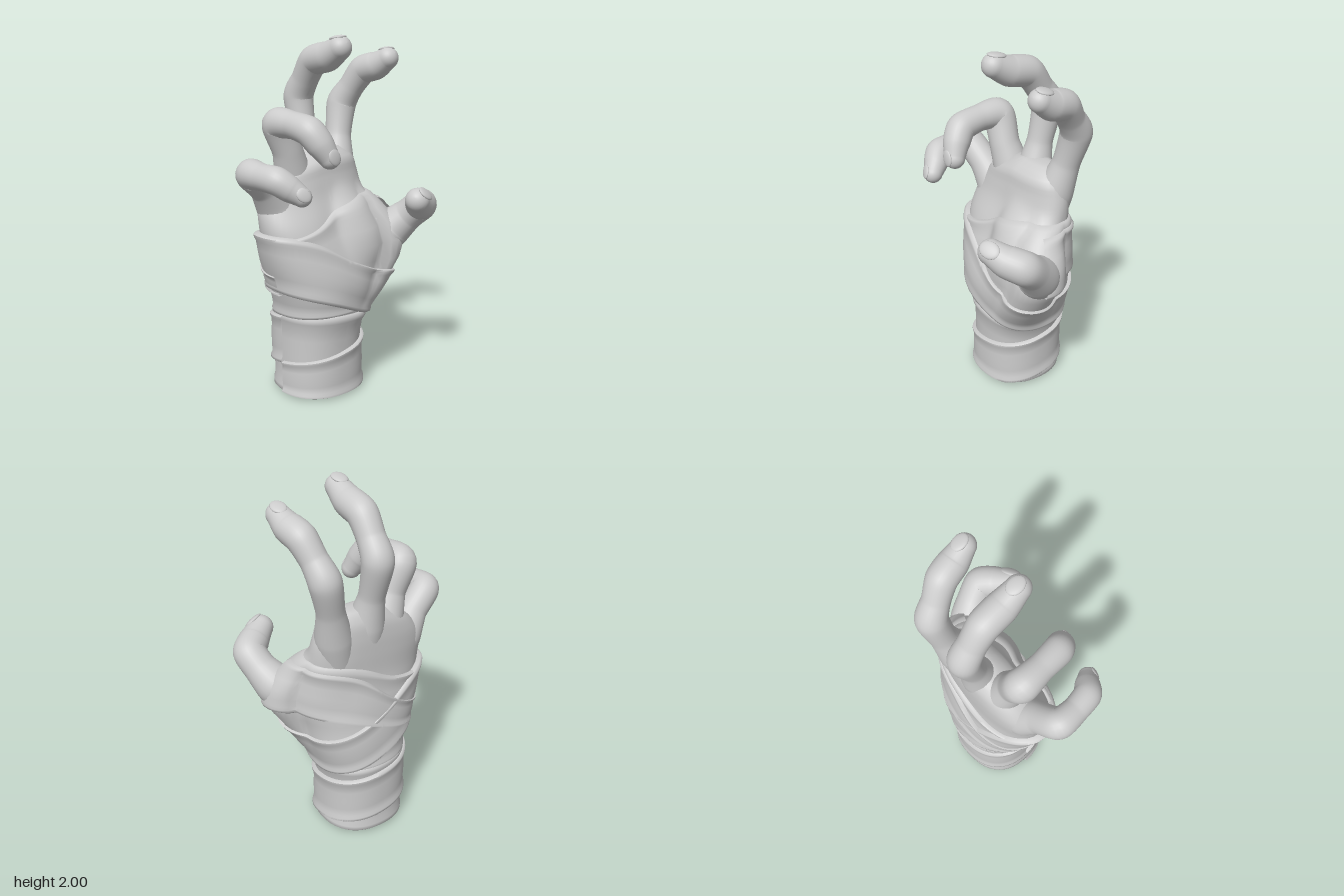
import * as THREE from 'three';
import { toCreasedNormals } from 'three/addons/utils/BufferGeometryUtils.js';

const grey = new THREE.MeshStandardMaterial({ color: 0xcccccc, side: THREE.DoubleSide });

// Skin a list of rings (each an array of Vector3 with equal length).
function loft(rings, closed = true) {
  const n = rings[0].length, pos = [], idx = [];
  rings.forEach(r => r.forEach(p => pos.push(p.x, p.y, p.z)));
  for (let i = 0; i < rings.length - 1; i++) {
    for (let j = 0; j < (closed ? n : n - 1); j++) {
      const k = (j + 1) % n;
      const a = i * n + j, b = i * n + k, c = a + n, d = b + n;
      idx.push(a, c, b, b, c, d);
    }
  }
  const g = new THREE.BufferGeometry();
  g.setAttribute('position', new THREE.Float32BufferAttribute(pos, 3));
  g.setIndex(idx);
  g.computeVertexNormals();
  return g;
}

function add(group, name, geometry) {
  const m = new THREE.Mesh(geometry, grey);
  m.name = name;
  group.add(m);
  return m;
}

// Palm and wrist sections: y, centre x z, half widths x z, thumb-root centre x z, radius
const SECTIONS = [
  [0.00, -0.02, -0.13, 0.225, 0.218, 0.00, -0.10, 0.05],
  [0.30, -0.02, -0.13, 0.225, 0.218, 0.02, -0.08, 0.06],
  [0.45, -0.01, -0.125, 0.24, 0.225, 0.10, -0.05, 0.10],
  [0.65, 0.00, -0.11, 0.295, 0.24, 0.225, 0.00, 0.125],
  [0.85, -0.02, -0.12, 0.335, 0.212, 0.33, 0.01, 0.13],
  [1.00, -0.035, -0.135, 0.345, 0.178, 0.29, -0.03, 0.11],
  [1.15, -0.03, -0.17, 0.34, 0.142, 0.20, -0.12, 0.05],
  [1.25, -0.015, -0.182, 0.31, 0.126, 0.12, -0.18, 0.03],
  [1.33, 0.01, -0.185, 0.25, 0.108, 0.08, -0.20, 0.02],
  [1.38, 0.04, -0.2, 0.15, 0.06, 0.05, -0.20, 0.01],
];
const sectionAt = new THREE.CubicInterpolant(
  SECTIONS.map(s => s[0]), SECTIONS.flatMap(s => s.slice(1)), 7, new Float32Array(7));

// Point on the palm at angle a (0 = left, PI/2 = front) and height y, pushed out by off
function handPoint(a, y, off = 0, scale = 1) {
  const [cx, cz, rx, rz, tx, tz, tr] = sectionAt.evaluate(y);
  const c = Math.cos(a), s = Math.sin(a), e = 2.3;
  let r = Math.pow(Math.pow(Math.abs(c) / rx, e) + Math.pow(Math.abs(s) / rz, e), -1 / e);
  // cupped palm
  if (s > 0) r *= 1 - 0.1 * s ** 6 * Math.exp(-(((y - 1.0) / 0.16) ** 2));
  // swell of the thumb root
  const along = (tx - cx) * c + (tz - cz) * s, across = (tx - cx) * s - (tz - cz) * c;
  const thumb = Math.max(0, along + Math.sqrt(Math.max(0, tr * tr - across * across)));
  r = Math.pow(r ** 9 + thumb ** 9, 1 / 9) * scale + off;
  const x = cx + c * r;
  const drop = x < 0 && y > 0.95 ? 0.55 * x * (y - 0.95) : 0;
  return new THREE.Vector3(x, y + drop, cz + s * r);
}

function palmGeometry() {
  const rows = [[0.22, 0], [0.22, 0.68], [0, 0.68], [0, 1]];
  for (let i = 1; i <= 60; i++) rows.push([1.38 * i / 60, 1]);
  rows.push([1.385, 0.7], [1.39, 0]);
  const N = 80;
  return toCreasedNormals(loft(rows.map(([y, sc]) =>
    Array.from({ length: N }, (_, j) => handPoint(j / N * Math.PI * 2, y, 0, sc)))), 0.9);
}

// Cloth strip between two edge heights, with slightly rolled borders
const CLOTH = [[0, -0.02], [0, 0.012], [0.03, 0.025], [0.08, 0.025], [0.14, 0.017], [0.3, 0.018],
  [0.5, 0.02], [0.7, 0.018], [0.86, 0.017], [0.92, 0.025], [0.97, 0.025], [1, 0.012], [1, -0.02]];
function wrap(from, to, low, high, lift = 0) {
  const N = 110;
  return toCreasedNormals(loft(CLOTH.map(([v, off]) => Array.from({ length: N + 1 }, (_, j) => {
    const a = from + (to - from) * j / N;
    return handPoint(a, THREE.MathUtils.lerp(low(a), high(a), v), off + (off > 0 ? lift : 0));
  })), false), 1.0);
}
// Height of a tilted edge: mid level, rise to the left, rise to the front
const tilt = (mid, left, front) => a => mid + left * Math.cos(a) + front * Math.sin(a);

// Finger skinned along a curve; each joint is x, y, z, radius
function finger(name, joints) {
  const group = new THREE.Group();
  group.name = name;
  const pts = joints.map(j => new THREE.Vector3(j[0], j[1], j[2]));
  const path = new THREE.CatmullRomCurve3(pts, false, 'catmullrom', 0.33);
  const radius = new THREE.SplineCurve(joints.map((j, i) => new THREE.Vector2(i, j[3])));
  const L = 72, N = 28, rings = [];
  const n = new THREE.Vector3(0.3, 0, 1), t = new THREE.Vector3(), b = new THREE.Vector3();
  const ring = (p, r) => rings.push(Array.from({ length: N }, (_, j) => {
    const a = j / N * Math.PI * 2;
    return p.clone().addScaledVector(n, Math.cos(a) * r).addScaledVector(b, -Math.sin(a) * r);
  }));
  for (let i = 0; i <= L; i++) {
    // tangent averaged over a short stretch, so rings turn gently at the knuckles
    t.copy(path.getPoint(Math.min(1, i / L + 0.03))).sub(path.getPoint(Math.max(0, i / L - 0.03)));
    t.normalize();
    n.addScaledVector(t, -n.dot(t)).normalize();
    b.crossVectors(t, n);
    ring(path.getPoint(i / L), radius.getPoint(i / L).y);
  }
  // rounded tip
  const end = pts[pts.length - 1], r = joints[joints.length - 1][3];
  for (let k = 1; k <= 8; k++) {
    const a = k / 8 * Math.PI / 2;
    ring(end.clone().addScaledVector(t, Math.sin(a) * r), Math.cos(a) * r);
  }
  add(group, name + 'Skin', loft(rings));

  // nail sunk into the outer side of the bend, sloping with the tip
  const m = pts.length, out = pts[m - 3].clone().sub(pts[m - 5].clone().add(end).multiplyScalar(0.5));
  out.addScaledVector(t, -out.dot(t)).normalize();
  const long = t.clone().addScaledVector(out, -0.3).normalize();
  const side = new THREE.Vector3().crossVectors(out, t).normalize();
  const nail = add(group, name + 'Nail', new THREE.SphereGeometry(1, 20, 12));
  nail.scale.set(r * 0.66, r * 0.22, r * 0.85);
  nail.quaternion.setFromRotationMatrix(
    new THREE.Matrix4().makeBasis(side, new THREE.Vector3().crossVectors(long, side), long));
  nail.position.copy(end).addScaledVector(out, r * 0.83).addScaledVector(t, r * 0.1);
  return group;
}

const FINGERS = {
  indexFinger: [[0.16, 1.05, -0.19, 0.09], [0.2, 1.25, -0.21, 0.1], [0.24, 1.42, -0.245, 0.075],
    [0.283, 1.6, -0.265, 0.085], [0.305, 1.7, -0.205, 0.073], [0.33, 1.795, -0.135, 0.08],
    [0.345, 1.825, -0.04, 0.077], [0.355, 1.868, 0.035, 0.06]],
  middleFinger: [[0.01, 1.05, -0.2, 0.09], [0.005, 1.28, -0.22, 0.1], [0, 1.45, -0.26, 0.071],
    [0, 1.655, -0.305, 0.084], [0, 1.76, -0.245, 0.075], [0, 1.86, -0.17, 0.081],
    [0, 1.89, -0.05, 0.08], [0, 1.938, 0.045, 0.063]],
  ringFinger: [[-0.1, 1.02, -0.18, 0.09], [-0.135, 1.22, -0.185, 0.105], [-0.19, 1.39, -0.165, 0.084],
    [-0.25, 1.54, -0.165, 0.088], [-0.25, 1.55, -0.04, 0.073], [-0.24, 1.53, 0.085, 0.078],
    [-0.21, 1.46, 0.14, 0.072], [-0.18, 1.395, 0.172, 0.055]],
  littleFinger: [[-0.23, 0.98, -0.16, 0.1], [-0.28, 1.11, -0.165, 0.108], [-0.36, 1.215, -0.145, 0.085],
    [-0.467, 1.307, -0.115, 0.083], [-0.475, 1.31, -0.01, 0.071], [-0.46, 1.305, 0.095, 0.073],
    [-0.412, 1.26, 0.15, 0.066], [-0.378, 1.228, 0.19, 0.052]],
  thumb: [[0.26, 0.76, -0.01, 0.07], [0.33, 0.83, 0.01, 0.11], [0.4, 0.91, 0.055, 0.113],
    [0.445, 0.985, 0.125, 0.092], [0.465, 1.055, 0.205, 0.09], [0.4, 1.085, 0.265, 0.084],
    [0.332, 1.122, 0.308, 0.068]],
};

export function createModel() {
  const model = new THREE.Group();
  model.name = 'bandagedHand';
  add(model, 'palmAndWrist', palmGeometry());
  for (const [name, joints] of Object.entries(FINGERS)) model.add(finger(name, joints));

  // Cloth strips, from wrist to knuckles
  const PI = Math.PI, strips = new THREE.Group();
  strips.name = 'bandages';
  model.add(strips);
  add(strips, 'wristBase', wrap(0, 2 * PI, () => 0.005, tilt(0.47, -0.02, 0.01), -0.004));
  // spiral climbing from the right side across the front and round the back
  const climb = a => 0.2 + 0.28 * (PI - a) / (2 * PI);
  add(strips, 'wristSpiral', wrap(-PI, PI, a => Math.max(0.01, climb(a) - 0.29), climb, 0.012));
  add(strips, 'lowerPalmWrap', wrap(0, 2 * PI, tilt(0.47, 0, 0.02), tilt(0.68, -0.08, 0), -0.004));
  add(strips, 'knuckleWrap', wrap(0, 2 * PI, tilt(0.66, -0.07, 0), tilt(1.025, 0.095, 0.02)));
  add(strips, 'palmWrap', wrap(0, 2 * PI, tilt(0.52, -0.11, 0), tilt(0.81, -0.16, 0.01), 0.013));
  add(strips, 'backDiagonal', wrap(PI * 0.98, PI * 2.11,
    tilt(0.71, 0.1, 0), tilt(0.91, 0.18, 0), 0.016));
  return model;
}
